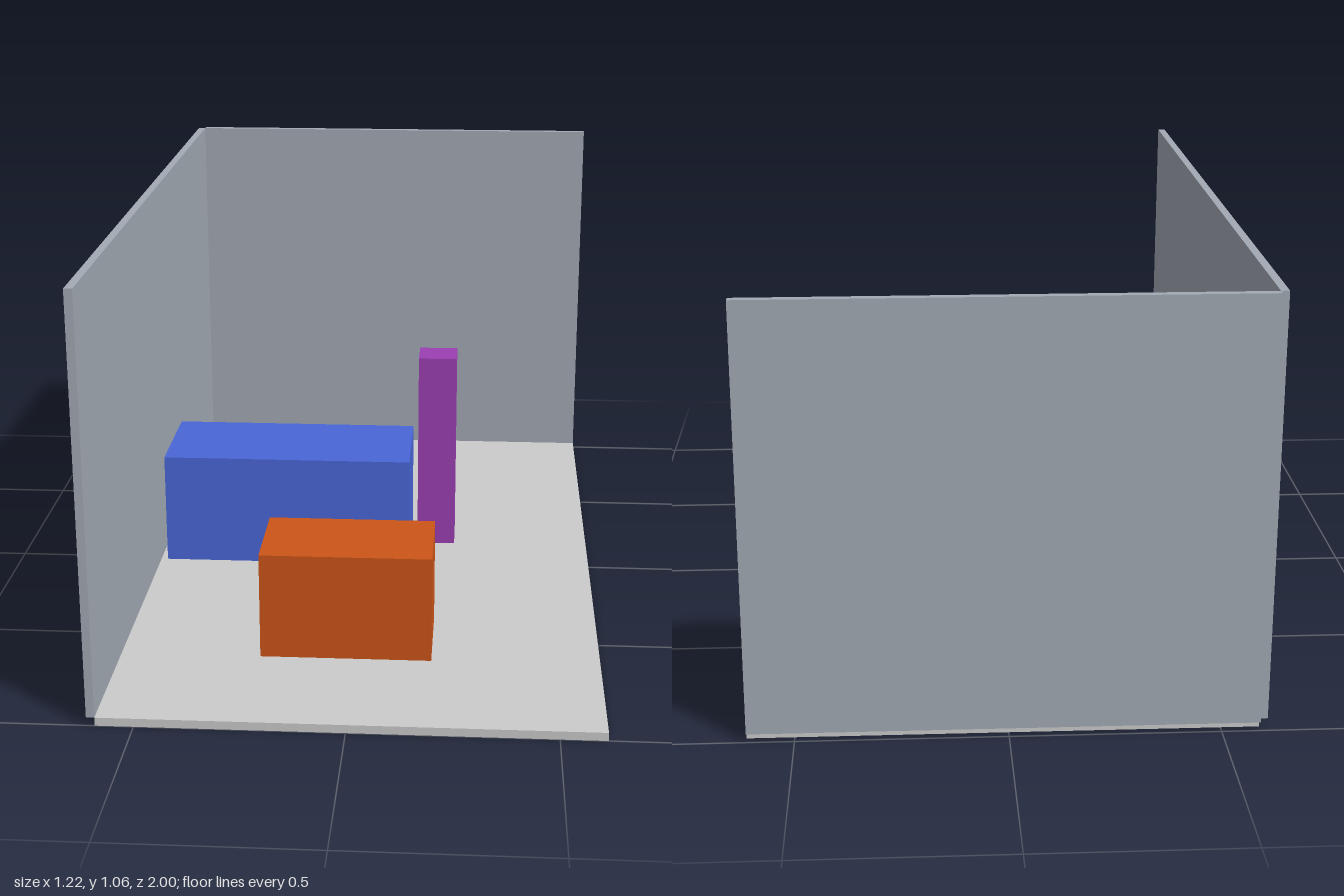
import * as THREE from 'three';

const FLOOR_TOP = 0.021;
const WALL_TOP = 1.064;

// Axis-aligned block given by its [min, max] extents
function block(name, color, [x0, x1], [y0, y1], [z0, z1]) {
  const mesh = new THREE.Mesh(
    new THREE.BoxGeometry(x1 - x0, y1 - y0, z1 - z0),
    new THREE.MeshStandardMaterial({ color })
  );
  mesh.name = name;
  mesh.position.set((x0 + x1) / 2, (y0 + y1) / 2, (z0 + z1) / 2);
  return mesh;
}

export function createModel() {
  const group = new THREE.Group();
  group.name = 'room';

  // Room shell: floor slab and two thin walls meeting at a corner
  const wallColor = 0xa3aab4;
  const wallY = [FLOOR_TOP, WALL_TOP];
  group.add(
    block('floor', 0xcccccc, [-0.592, 0.612], [0, FLOOR_TOP], [-0.98, 1]),
    block('backWall', wallColor, [-0.592, 0.612], wallY, [-1, -0.98]),
    block('sideWall', wallColor, [-0.612, -0.592], wallY, [-0.98, 1])
  );

  // Furniture blocks standing on the floor
  group.add(
    block('sofa', 0x4a66d8, [-0.574, 0.108], [FLOOR_TOP, 0.327], [-0.246, 0.06]),
    block('table', 0xcc5518, [-0.24, 0.19], [FLOOR_TOP, 0.296], [0.406, 0.656]),
    block('lampColumn', 0x9b3fb2, [0.127, 0.233], [FLOOR_TOP, 0.578], [-0.208, -0.102])
  );

  return group;
}
